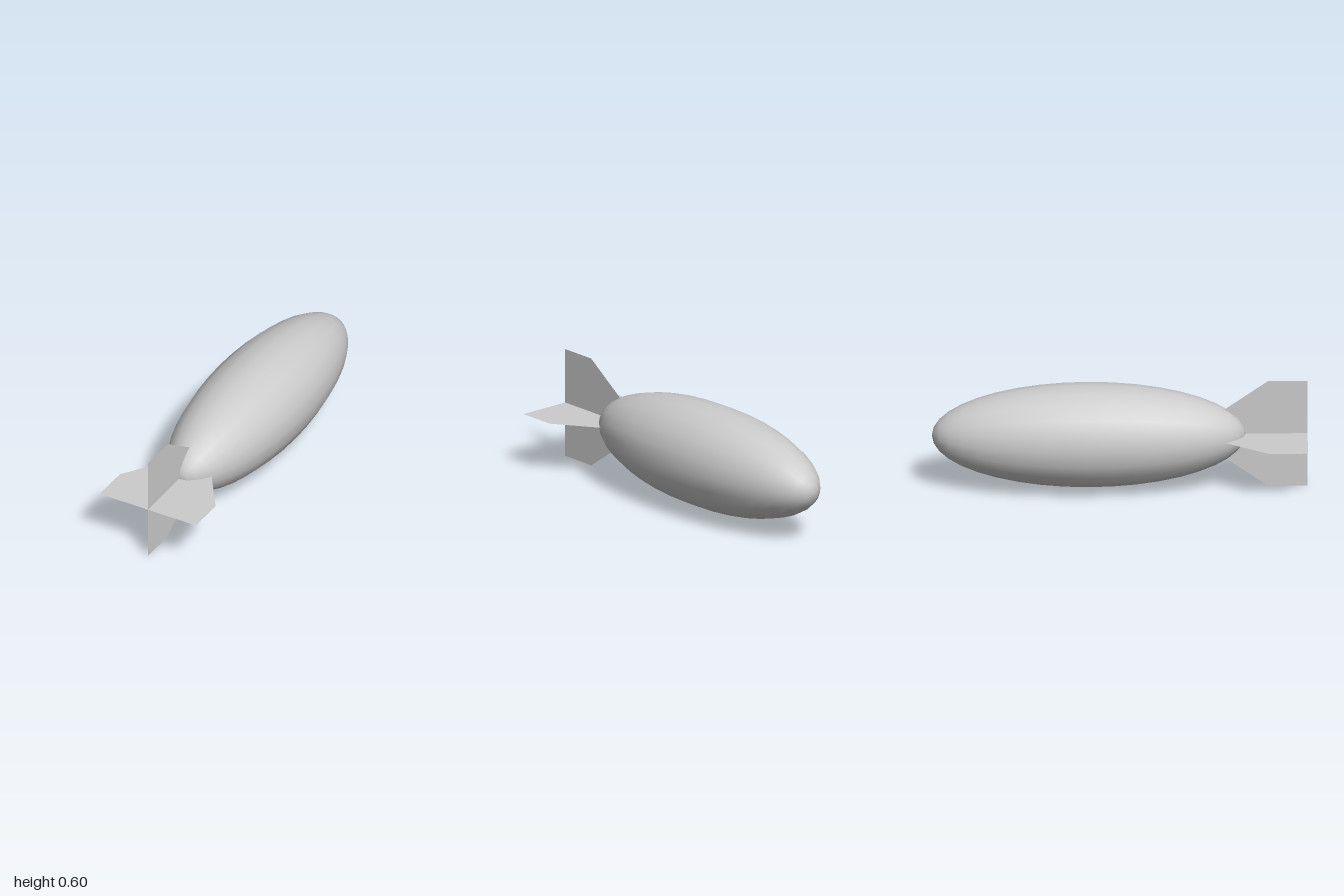
import * as THREE from 'three';

export function createModel() {
  const model = new THREE.Group();
  model.name = 'airship';
  const hullMaterial = new THREE.MeshStandardMaterial({ color: 0xcccccc });
  const finMaterial = new THREE.MeshStandardMaterial({ color: 0xcccccc, side: THREE.DoubleSide });

  // Hull: a 20-sided ellipsoid with its poles along z
  const hullGeometry = new THREE.SphereGeometry(1, 20, 20);
  hullGeometry.rotateX(Math.PI / 2);
  hullGeometry.scale(0.281, 0.281, 0.835);
  const hull = new THREE.Mesh(hullGeometry, hullMaterial);
  hull.name = 'hull';
  hull.position.set(0, 0.298, -0.165);
  model.add(hull);

  // Tail fins: two thin crossed plates that taper forward into the hull
  const addFin = (name, halfSpan, turn) => {
    const outline = new THREE.Shape([
      new THREE.Vector2(-halfSpan, 1),
      new THREE.Vector2(halfSpan, 1),
      new THREE.Vector2(halfSpan, 0.79),
      new THREE.Vector2(0, 0.36),
      new THREE.Vector2(-halfSpan, 0.79),
    ]);
    const geometry = new THREE.ShapeGeometry(outline);
    geometry.rotateX(Math.PI / 2);
    geometry.rotateZ(turn);
    const fin = new THREE.Mesh(geometry, finMaterial);
    fin.name = name;
    fin.position.y = 0.3;
    model.add(fin);
  };
  addFin('horizontalFin', 0.295, 0);
  addFin('verticalFin', 0.3, Math.PI / 2);

  return model;
}
